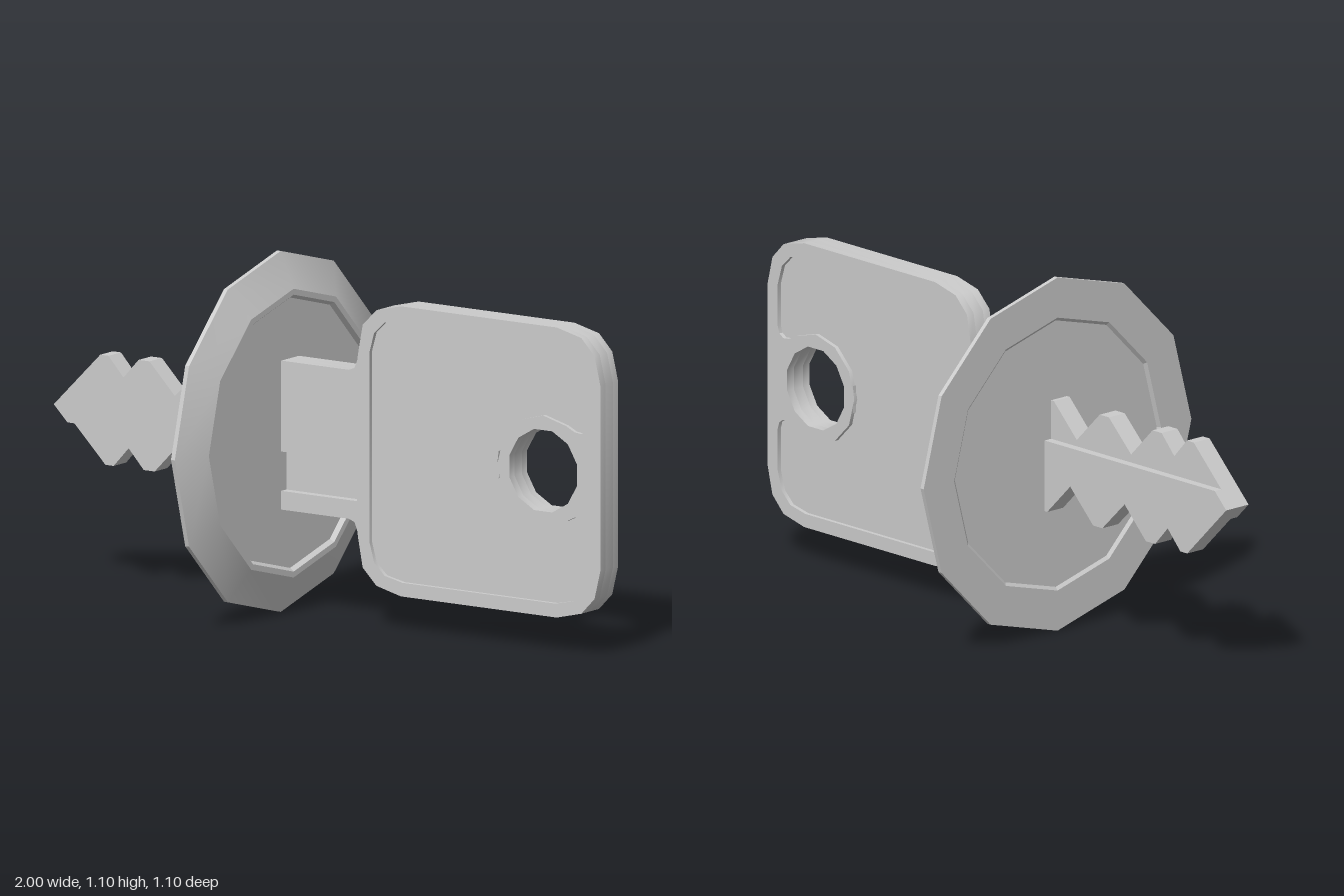
import * as THREE from 'three';
import { toCreasedNormals } from 'three/addons/utils/BufferGeometryUtils.js';

const HALF = 0.046;   // half thickness of the key
const CORE = 0.019;   // half thickness left between the blade grooves
const FLOOR = 0.033;  // height of the sunken panel on the bow
const material = new THREE.MeshStandardMaterial({ color: 0xcccccc });

const vectors = (pts) => pts.map(([x, y]) => new THREE.Vector2(x, y));
// Adds the lower half of an outline as a mirror image of the upper half.
const mirrorY = (pts) => [...pts, ...pts.filter((p) => p[1] !== 0).reverse().map(([x, y]) => [x, -y])];

// Flat plate between two depths, cut out by the given hole outlines.
function plate(name, outline, z0, z1, holes = []) {
  const shape = new THREE.Shape(vectors(outline));
  for (const hole of holes) shape.holes.push(new THREE.Path(vectors(hole)));
  const geo = new THREE.ExtrudeGeometry(shape, { depth: z1 - z0, bevelEnabled: false });
  geo.translate(0, 0, z0);
  const mesh = new THREE.Mesh(toCreasedNormals(geo, 0.7), material);
  mesh.name = name;
  return mesh;
}

// All outlines use y = 0 as the centre line of the key.
const bowTop = [
  [-0.19, 0.227], [0.08, 0.227], [0.1, 0.235], [0.11, 0.26],
  [0.113, 0.28], [0.13, 0.37], [0.18, 0.42], [0.27, 0.442],
  [0.84, 0.442], [0.93, 0.42], [0.978, 0.37], [1, 0.28],
];
const bladeTop = [
  [-1, 0], [-0.83, 0.17], [-0.8, 0.17], [-0.745, 0.11], [-0.69, 0.17], [-0.65, 0.17],
  [-0.557, 0.075], [-0.46, 0.17], [-0.42, 0.17], [-0.32, 0.07], [-0.22, 0.17], [-0.19, 0.17],
];

// Round hole, and the sunken panel that wraps around its raised collar.
const holeX = 0.79;
const ringPoint = (r, a) => [holeX + r * Math.cos(a), r * Math.sin(a)];
const keyHole = [];
for (let i = 0; i < 12; i++) keyHole.push(ringPoint(0.128, ((i + 0.5) * Math.PI) / 6));
const collar = [];
for (let i = 0; i < 5; i++) collar.push(ringPoint(0.168, ((2.5 + i) * Math.PI) / 6 - Math.PI / 12));
collar.push(ringPoint(0.168, Math.PI * 0.92));
const panel = mirrorY([
  ...collar.reverse(), [0.905, 0.13], [0.93, 0.127], [0.948, 0.138], [0.955, 0.16],
  [0.955, 0.29], [0.937, 0.35], [0.9, 0.386], [0.835, 0.4],
  [0.275, 0.4], [0.21, 0.386], [0.172, 0.35], [0.155, 0.29],
]);

// One face of the key: raised rim, panel floor and grooved blade side.
function keyFace(name) {
  const face = new THREE.Group();
  face.name = name;
  const groove = [[-0.19, -0.17], [0.11, -0.17], [0.11, -0.05], [-0.19, -0.05]];
  face.add(plate('bowRim', [...mirrorY(bowTop), ...groove], CORE, HALF, [panel, keyHole]));
  face.add(plate('bowPanel', panel, CORE, FLOOR));
  face.add(plate('bladeRidge', [...bladeTop, [-0.19, -0.05], [-0.95, -0.05]], CORE, HALF));
  return face;
}

export function createModel() {
  const model = new THREE.Group();
  model.name = 'keyAndLockPlate';

  const key = new THREE.Group();
  key.name = 'key';
  key.add(plate('bowCore', mirrorY(bowTop), -CORE, CORE, [keyHole]));
  key.add(plate('bladeCore', mirrorY(bladeTop), -CORE, CORE));
  // The back face is the front face turned half round the key's axis.
  const back = keyFace('backFace');
  back.rotation.x = Math.PI;
  key.add(keyFace('frontFace'), back);
  key.position.y = 0.55;
  model.add(key);

  // Twelve-sided lock plate with a sloped border and sunken centre.
  const profile = vectors([
    [0, -0.208], [0.415, -0.208], [0.425, -0.216], [0.55, -0.216], [0.55, -0.202],
    [0.44, -0.155], [0.422, -0.155], [0.412, -0.168], [0, -0.168],
  ]);
  const geo = new THREE.LatheGeometry(profile, 12);
  geo.rotateZ(-Math.PI / 2);
  const lockPlate = new THREE.Mesh(toCreasedNormals(geo, 0.3), material);
  lockPlate.name = 'lockPlate';
  lockPlate.position.y = 0.55;
  model.add(lockPlate);
  return model;
}
